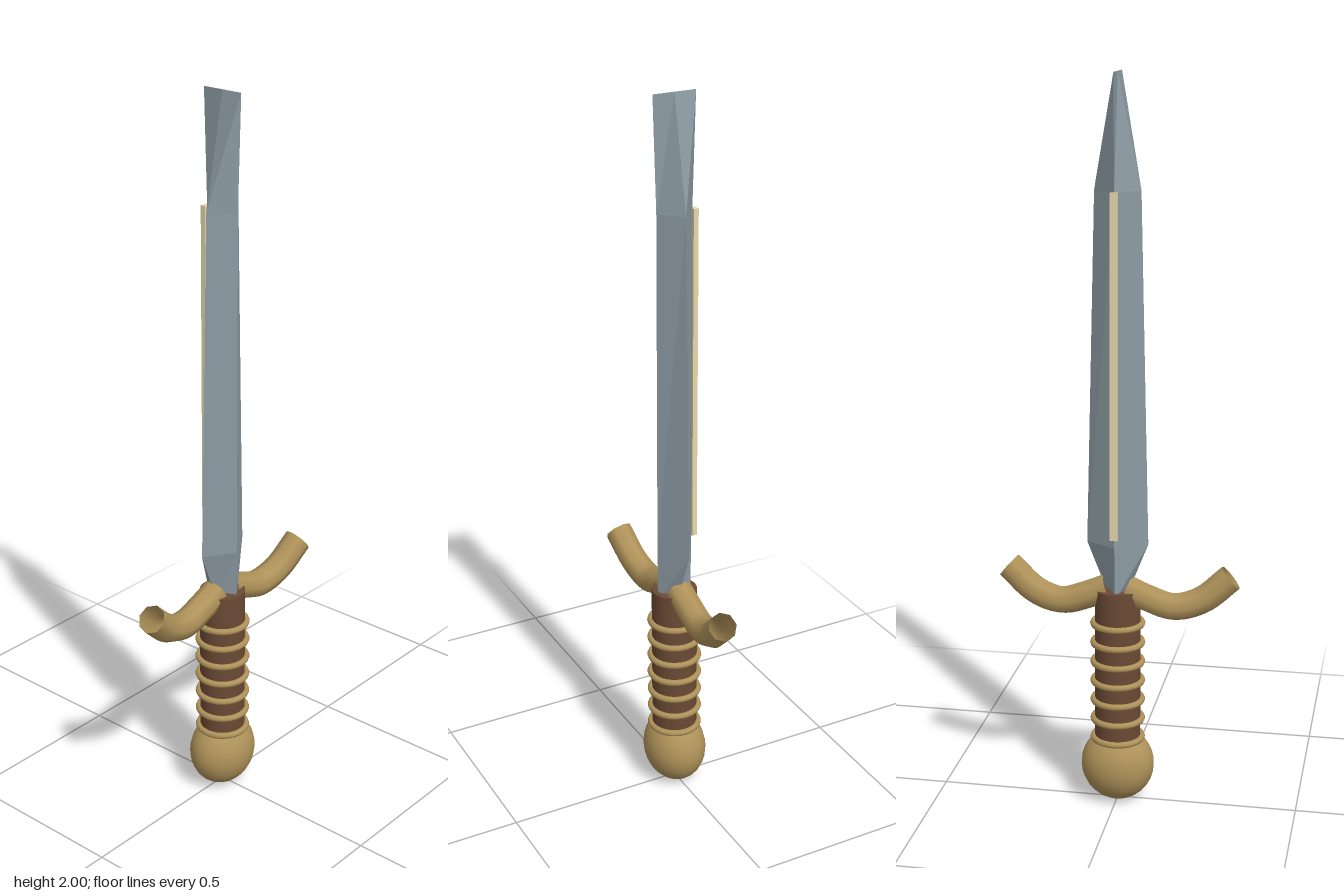
import * as THREE from 'three';

const mat = (color, extra = {}) => {
  const m = new THREE.MeshStandardMaterial({ color, ...extra });
  return m;
};

// Diamond-section loft through levels of [y, halfWidth, halfDepth]
function diamondLoft(levels) {
  const pos = [];
  const rings = levels.map(([y, w, d]) => [[w, y, 0], [0, y, d], [-w, y, 0], [0, y, -d]]);
  const tri = (a, b, c) => pos.push(...a, ...b, ...c);
  for (let i = 0; i < rings.length - 1; i++) {
    const lo = rings[i], hi = rings[i + 1];
    for (let k = 0; k < 4; k++) {
      const n = (k + 1) % 4;
      tri(lo[k], hi[k], lo[n]);
      tri(lo[n], hi[k], hi[n]);
    }
  }
  const base = rings[0];
  tri(base[0], base[1], base[2]);
  tri(base[0], base[2], base[3]);
  const g = new THREE.BufferGeometry();
  g.setAttribute('position', new THREE.Float32BufferAttribute(pos, 3));
  g.computeVertexNormals();
  return g;
}

export function createModel() {
  const group = new THREE.Group();
  const steel = mat(0x8c9ba3, { flatShading: true });
  const brass = mat(0xb0935a);
  const openBrass = mat(0xb0935a, { side: THREE.DoubleSide });
  const leather = mat(0x6b4a35);
  const cream = mat(0xe6d8ac);

  const add = (name, geometry, material, x = 0, y = 0, z = 0) => {
    const mesh = new THREE.Mesh(geometry, material);
    mesh.name = name;
    mesh.position.set(x, y, z);
    group.add(mesh);
    return mesh;
  };

  // Blade: narrow at the base, tapering to a chisel-like tip edge along z
  add('blade', diamondLoft([
    [0.6, 0.025, 0.05],
    [0.75, 0.084, 0.052],
    [1.7, 0.062, 0.051],
    [2.0, 0, 0.06],
  ]), steel);

  // Thin inlay along the back ridge
  add('bladeInlay', new THREE.BoxGeometry(0.02, 0.925, 0.014), cream, 0, 1.2375, -0.057);

  // Grip and its wire wraps
  add('grip', new THREE.CylinderGeometry(0.063, 0.063, 0.47, 24), leather, 0, 0.385, 0);
  for (let i = 0; i < 7; i++) {
    const ring = add('gripRing', new THREE.TorusGeometry(0.067, 0.009, 8, 32), brass, 0, 0.185 + i * 0.056, 0);
    ring.rotation.x = Math.PI / 2;
  }

  // Pommel: flattened ball
  add('pommel', new THREE.SphereGeometry(1, 24, 16), brass, 0, 0.105, 0).scale.set(0.102, 0.105, 0.086);

  // Guard arms: open tubes that dip, then sweep up and forward
  for (const s of [1, -1]) {
    const path = new THREE.CatmullRomCurve3([
      [0.025, 0.622, -0.002], [0.085, 0.597, -0.002], [0.155, 0.577, 0],
      [0.23, 0.598, 0.008], [0.307, 0.662, 0.02],
    ].map(([x, y, z]) => new THREE.Vector3(s * x, y, z)));
    add(s > 0 ? 'leftGuardArm' : 'rightGuardArm', new THREE.TubeGeometry(path, 24, 0.039, 8), openBrass);
  }
  return group;
}
